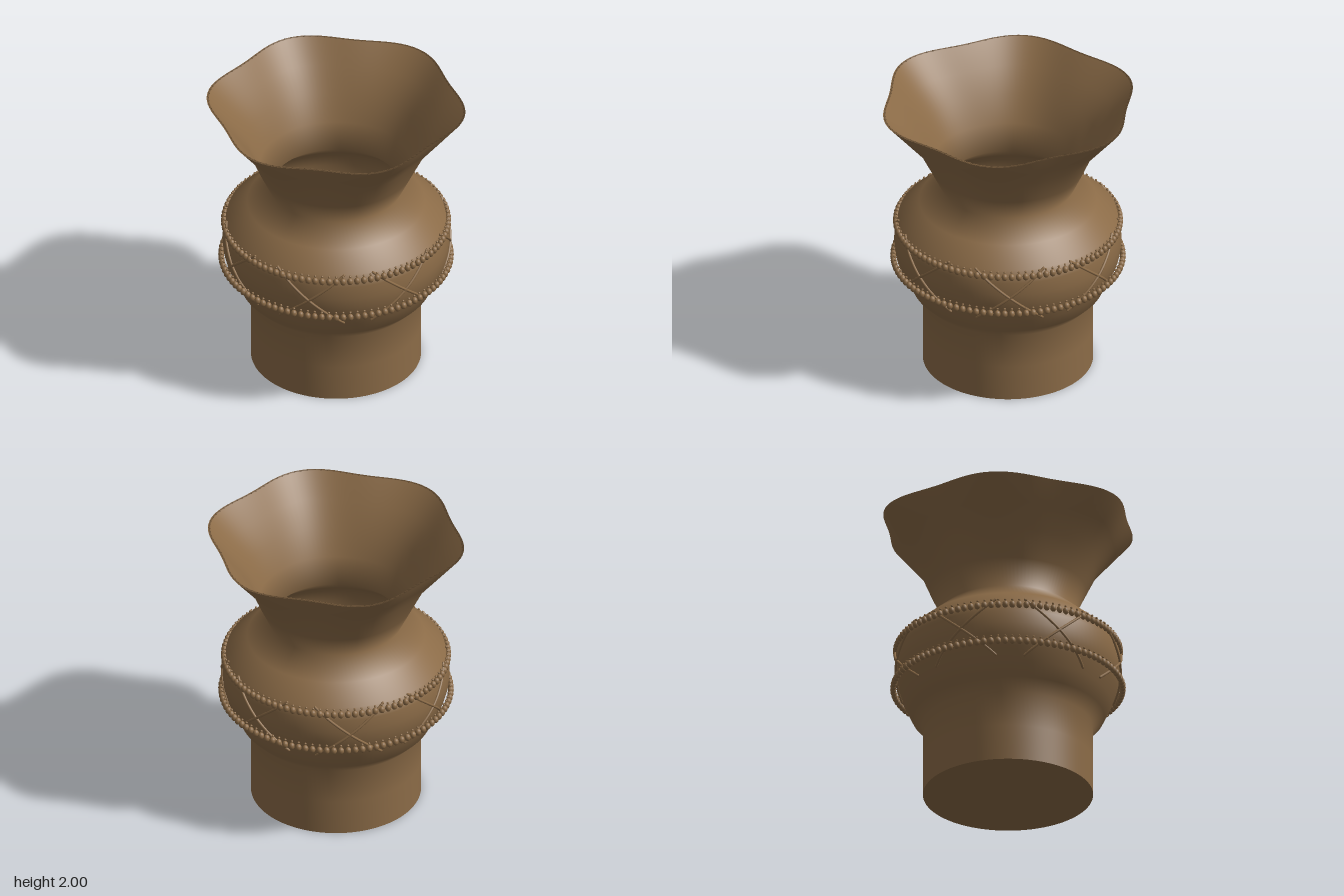
import * as THREE from 'three';
import { mergeGeometries, mergeVertices } from 'three/addons/utils/BufferGeometryUtils.js';

const clay = new THREE.MeshStandardMaterial({ color: 0x8b6b47 });
clay.name = 'brown clay';

// Outer wall profile: [radius, height]
const outer = [
  [0.575, 0], [0.575, 0.25], [0.573, 0.5], [0.65, 0.58], [0.697, 0.68], [0.738, 0.77],
  [0.76, 0.85], [0.767, 0.93], [0.76, 1.02], [0.738, 1.11], [0.6, 1.225], [0.45, 1.35],
  [0.53, 1.52], [0.612, 1.7], [0.73, 1.85], [0.845, 2],
];
const WALL = 0.018;

// Wall radius at a given height
function wallRadius(y) {
  for (let i = 1; i < outer.length; i++) {
    const [r0, y0] = outer[i - 1], [r1, y1] = outer[i];
    if (y <= y1) return r0 + (r1 - r0) * (y - y0) / (y1 - y0);
  }
  return outer[outer.length - 1][0];
}

// Closed lathe shell whose mouth swells into six soft lobes
function vesselGeometry() {
  const inner = outer.slice(1).reverse().map(([r, y]) => [r - WALL, y]);
  const profile = [...outer, ...inner, [0.55, 0.04], [0, 0.04]]
    .map(([r, y]) => new THREE.Vector2(r, y));
  let geo = new THREE.LatheGeometry(profile, 120);
  const p = geo.attributes.position;
  for (let i = 0; i < p.count; i++) {
    const x = p.getX(i), y = p.getY(i), z = p.getZ(i);
    const r = Math.hypot(x, z);
    if (y <= 1.35 || r === 0) continue;
    const t = (y - 1.35) / 0.65;
    const s = 1 + 0.036 * t * t * Math.cos(6 * Math.atan2(z, x)) / r;
    p.setXYZ(i, x * s, y, z * s);
  }
  geo.deleteAttribute('uv');
  geo.deleteAttribute('normal');
  geo = mergeVertices(geo, 1e-5);
  geo.computeVertexNormals();
  return geo;
}

// Ring of egg-shaped beads, merged into one geometry
function beadRing(count, radius, y, rx, ry, segW, segH) {
  const bead = new THREE.SphereGeometry(1, segW, segH).scale(rx, ry, rx);
  const parts = [];
  for (let i = 0; i < count; i++) {
    const a = (i / count) * Math.PI * 2;
    parts.push(bead.clone().translate(Math.cos(a) * radius, y, Math.sin(a) * radius));
  }
  return mergeGeometries(parts);
}

// One cord lying on the belly, slanting across a crossing centred on an angle
function cord(angle, direction) {
  const half = THREE.MathUtils.degToRad(18);
  const points = [];
  for (let i = 0; i <= 10; i++) {
    const t = i / 10, y = 0.71 + 0.4 * t;
    const a = angle + direction * half * (2 * t - 1);
    const r = wallRadius(y) + 0.006;
    points.push(new THREE.Vector3(Math.cos(a) * r, y, Math.sin(a) * r));
  }
  const curve = new THREE.CatmullRomCurve3(points);
  const parts = [new THREE.TubeGeometry(curve, 24, 0.009, 8)];
  // rounded ends
  for (const end of [points[0], points[10]])
    parts.push(new THREE.SphereGeometry(0.009, 8, 6).translate(end.x, end.y, end.z));
  return mergeGeometries(parts);
}

export function createModel() {
  const model = new THREE.Group();
  model.name = 'vase';
  const add = (name, geometry) => {
    const mesh = new THREE.Mesh(geometry, clay);
    mesh.name = name;
    model.add(mesh);
  };

  add('vessel', vesselGeometry());
  add('base', new THREE.CircleGeometry(0.575, 120).rotateX(Math.PI / 2));

  // Two beaded bands, each with a row of fine dots above
  for (const [name, y, radius] of [['upper', 1.067, 0.757], ['lower', 0.79, 0.775]]) {
    add(name + 'Beads', beadRing(100, radius, y, 0.021, 0.026, 12, 8));
    add(name + 'Dots', beadRing(100, radius - 0.004, y + 0.036, 0.009, 0.008, 6, 4));
  }

  // Seven crossed cords round the belly
  const crossings = 7;
  for (let k = 0; k < crossings; k++) {
    const angle = (k / crossings) * Math.PI * 2;
    add('cordRising' + (k + 1), cord(angle, 1));
    add('cordFalling' + (k + 1), cord(angle, -1));
  }
  return model;
}
